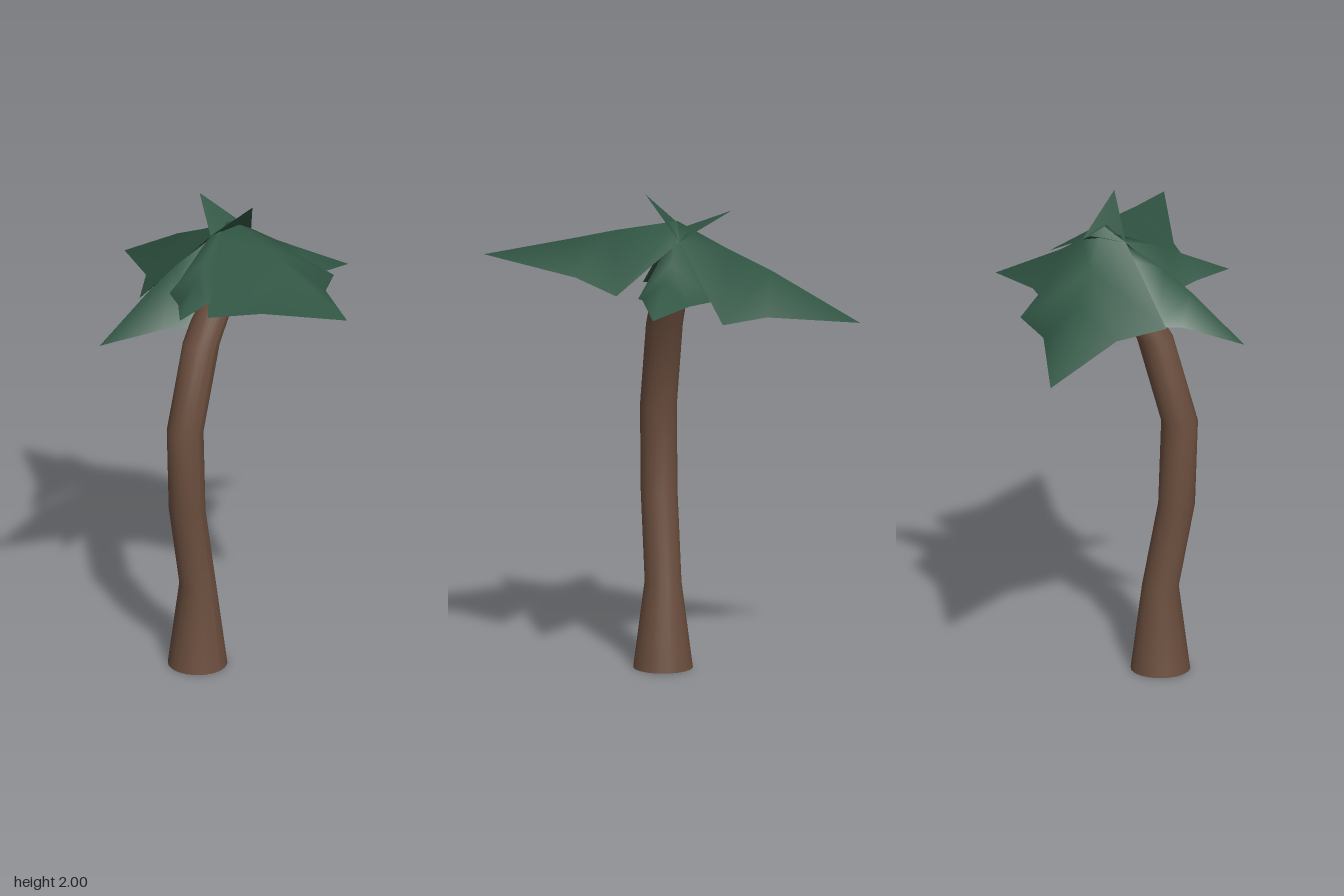
import * as THREE from 'three';

const bark = new THREE.MeshStandardMaterial({ color: 0x6b4e3e });
bark.name = 'bark brown';
const green = new THREE.MeshStandardMaterial({ color: 0x315644, side: THREE.DoubleSide });
green.name = 'frond green';

// Crown points that every frond grows from
const crown = [0.06, 1.89, -0.025];
const rootEast = [0.15, 1.825, -0.01];
const rootWest = [-0.03, 1.84, -0.07];

function mesh(name, geometry, material) {
  const m = new THREE.Mesh(geometry, material);
  m.name = name;
  return m;
}

// Bent trunk: a cylinder whose rings are moved sideways and rescaled
function trunk() {
  const rings = [ // x, y, radius
    [-0.165, 0, 0.12], [-0.165, 0.355, 0.074], [-0.23, 0.71, 0.074],
    [-0.242, 1.065, 0.074], [-0.143, 1.42, 0.074], [0.06, 1.76, 0.07],
  ];
  const g = new THREE.CylinderGeometry(1, 1, 5, 20, 5);
  const p = g.attributes.position;
  for (let i = 0; i < p.count; i++) {
    const [x, y, r] = rings[Math.round(p.getY(i) + 2.5)];
    p.setXYZ(i, x + p.getX(i) * r, y, -0.022 + p.getZ(i) * r);
  }
  g.computeVertexNormals();
  return mesh('trunk', g, bark);
}

// Frond skin over [left, ridge, right] cross-sections that ends in a pointed tip
function frond(name, sections, tip) {
  const points = [...sections.flat(), tip];
  const index = [];
  for (let s = 0; s < sections.length; s++) {
    for (let k = 0; k < 2; k++) {
      const a = s * 3 + k;
      if (s < sections.length - 1) index.push(a, a + 1, a + 3, a + 1, a + 4, a + 3);
      else index.push(a, a + 1, points.length - 1);
    }
  }
  const g = new THREE.BufferGeometry();
  g.setAttribute('position', new THREE.Float32BufferAttribute(points.flat(), 3));
  g.setIndex(index);
  g.computeVertexNormals();
  return mesh(name, g, green);
}

export function createModel() {
  const group = new THREE.Group();
  group.name = 'palmTree';
  group.add(trunk());

  // Two long fronds, front and back
  group.add(frond('frontFrond', [
    [rootEast, crown, rootWest],
    [[0.31, 1.655, 0.29], [0.01, 1.855, 0.22], [-0.29, 1.64, 0.14]],
    [[0.12, 1.695, 0.41], [-0.035, 1.82, 0.39], [-0.19, 1.685, 0.34]],
  ], [-0.12, 1.755, 0.73]));
  group.add(frond('backFrond', [
    [rootWest, crown, rootEast],
    [[-0.21, 1.56, -0.29], [0.1, 1.775, -0.22], [0.39, 1.53, -0.13]],
    [[-0.02, 1.55, -0.42], [0.14, 1.685, -0.39], [0.28, 1.525, -0.34]],
  ], [0.22, 1.465, -0.74]));

  // Shorter side fronds
  group.add(frond('leftFrond', [
    [[0.1, 1.8, -0.06], crown, [0.12, 1.82, 0.02]],
    [[0.31, 1.61, -0.11], [0.24, 1.76, 0.045], [0.19, 1.61, 0.17]],
    [[0.35, 1.605, 0], [0.33, 1.705, 0.095], [0.26, 1.62, 0.17]],
  ], [0.515, 1.595, 0.19]));
  group.add(frond('rightFrond', [
    [[-0.01, 1.8, 0], [0.03, 1.86, -0.05], [-0.05, 1.78, -0.1]],
    [[-0.29, 1.56, 0.03], [-0.19, 1.75, -0.12], [-0.18, 1.56, -0.275]],
    [[-0.34, 1.54, -0.06], [-0.3, 1.67, -0.16], [-0.27, 1.55, -0.245]],
  ], [-0.52, 1.48, -0.235]));
  group.add(frond('upperRightFrond', [
    [[0.02, 1.81, -0.03], [0.02, 1.87, -0.05], rootWest],
    [[-0.19, 1.67, 0.125], [-0.17, 1.8, 0.01], [-0.25, 1.66, -0.1]],
    [[-0.26, 1.68, 0.11], [-0.25, 1.755, 0.045], [-0.31, 1.66, 0]],
  ], [-0.43, 1.67, 0.112]));

  // Two young upright leaves at the crown
  group.add(frond('frontYoungLeaf', [[rootEast, [0.06, 1.85, -0.02], rootWest]], [0.03, 2, 0.1]));
  group.add(frond('backYoungLeaf', [[rootWest, [0.06, 1.85, -0.05], rootEast]], [0.1, 1.93, -0.24]));
  return group;
}
